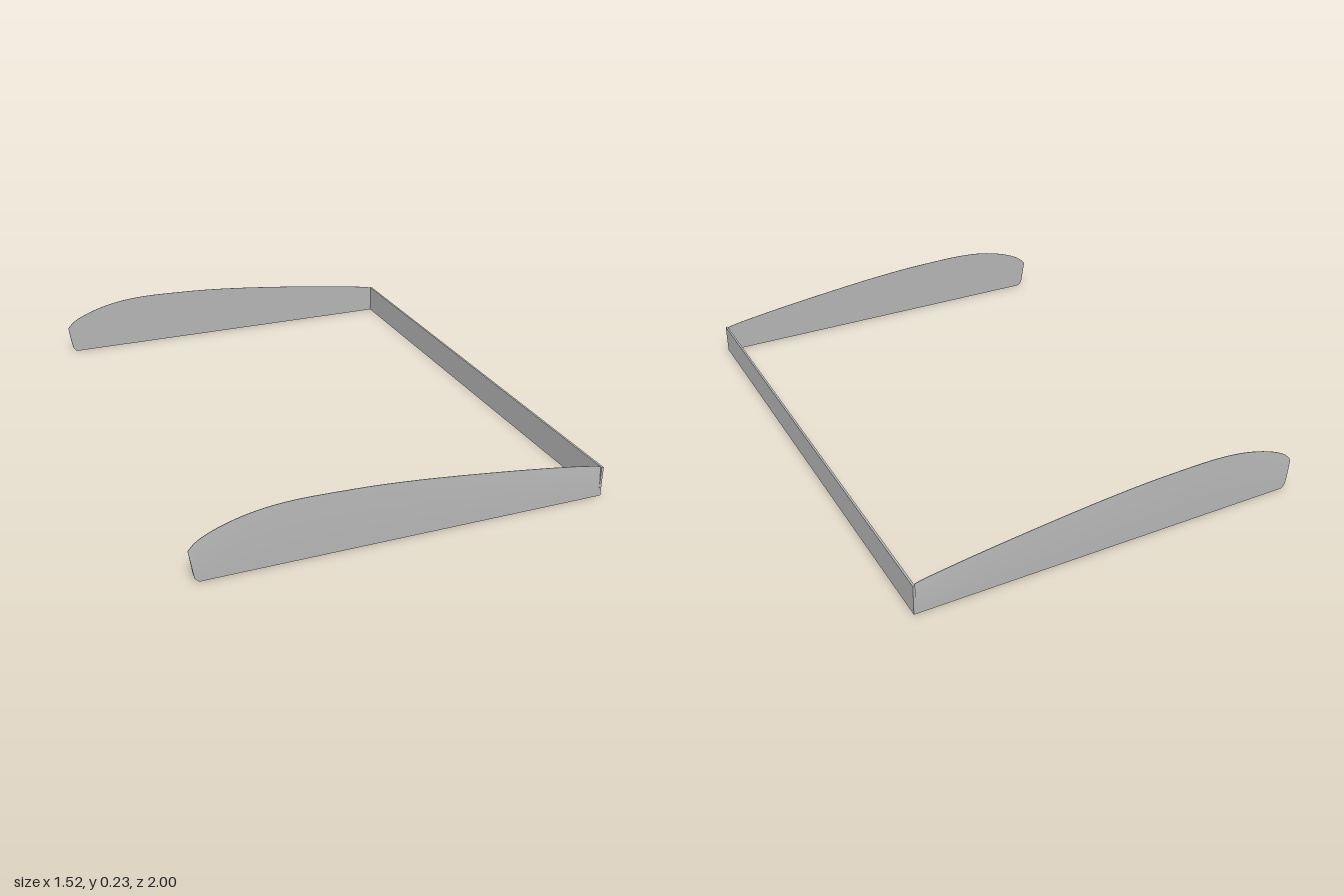
import * as THREE from 'three';

const RIGHT = 0.76, TIP = -0.765, BAR_HEIGHT = 0.115;

// Upper edge of a side blade, from the rounded tip to the joint with the bar
const topEdge = new THREE.CatmullRomCurve3([
  [-0.765, 0.115], [-0.74, 0.141], [-0.70, 0.164], [-0.65, 0.184], [-0.58, 0.204],
  [-0.5, 0.218], [-0.4, 0.225], [-0.25, 0.223], [-0.1, 0.217], [0.1, 0.201],
  [0.4, 0.168], [0.6, 0.142], [0.73, 0.121], [0.76, 0.113],
].map(([x, y]) => new THREE.Vector3(x, y, 0)));

// Tip end leans outward and has a small rounded lower corner
function tipX(y) {
  if (y < 0.02) return -0.735 - 0.015 * Math.sqrt(y / 0.02);
  return -0.75 + (TIP + 0.75) * Math.min(1, (y - 0.02) / (BAR_HEIGHT - 0.02));
}

// Thin blade: flat inside, outer face curving inward toward the upper edge
function bladeGeometry() {
  const g = new THREE.BoxGeometry(1, 1, 1, 39, 8, 1);
  const p = g.attributes.position;
  for (let i = 0; i < p.count; i++) {
    const u = p.getX(i) + 0.5, v = p.getY(i) + 0.5;
    const edge = topEdge.getPoint(THREE.MathUtils.clamp(u, 0, 1));
    const y = v * edge.y;
    const x = RIGHT - (RIGHT - edge.x) * (RIGHT - tipX(y)) / (RIGHT - TIP);
    const z = p.getZ(i) > 0 ? 1 - 0.008 * v * v : 0.99;
    p.setXYZ(i, x, y, z);
  }
  g.computeVertexNormals();
  return g;
}

export function createModel() {
  const model = new THREE.Group();
  model.name = 'threeSidedLip';
  const grey = new THREE.MeshStandardMaterial({ color: 0xb4b4b4 });
  grey.name = 'grey';

  // Mirrored side blades
  const blade = bladeGeometry();
  for (const side of [1, -1]) {
    const mesh = new THREE.Mesh(blade, grey);
    mesh.name = side > 0 ? 'frontBlade' : 'backBlade';
    mesh.scale.z = side;
    model.add(mesh);
  }

  // Straight bar joining the blades
  const bar = new THREE.Mesh(new THREE.BoxGeometry(0.008, BAR_HEIGHT, 2), grey);
  bar.name = 'crossBar';
  bar.position.set(RIGHT - 0.004, BAR_HEIGHT / 2, 0);
  model.add(bar);

  return model;
}
